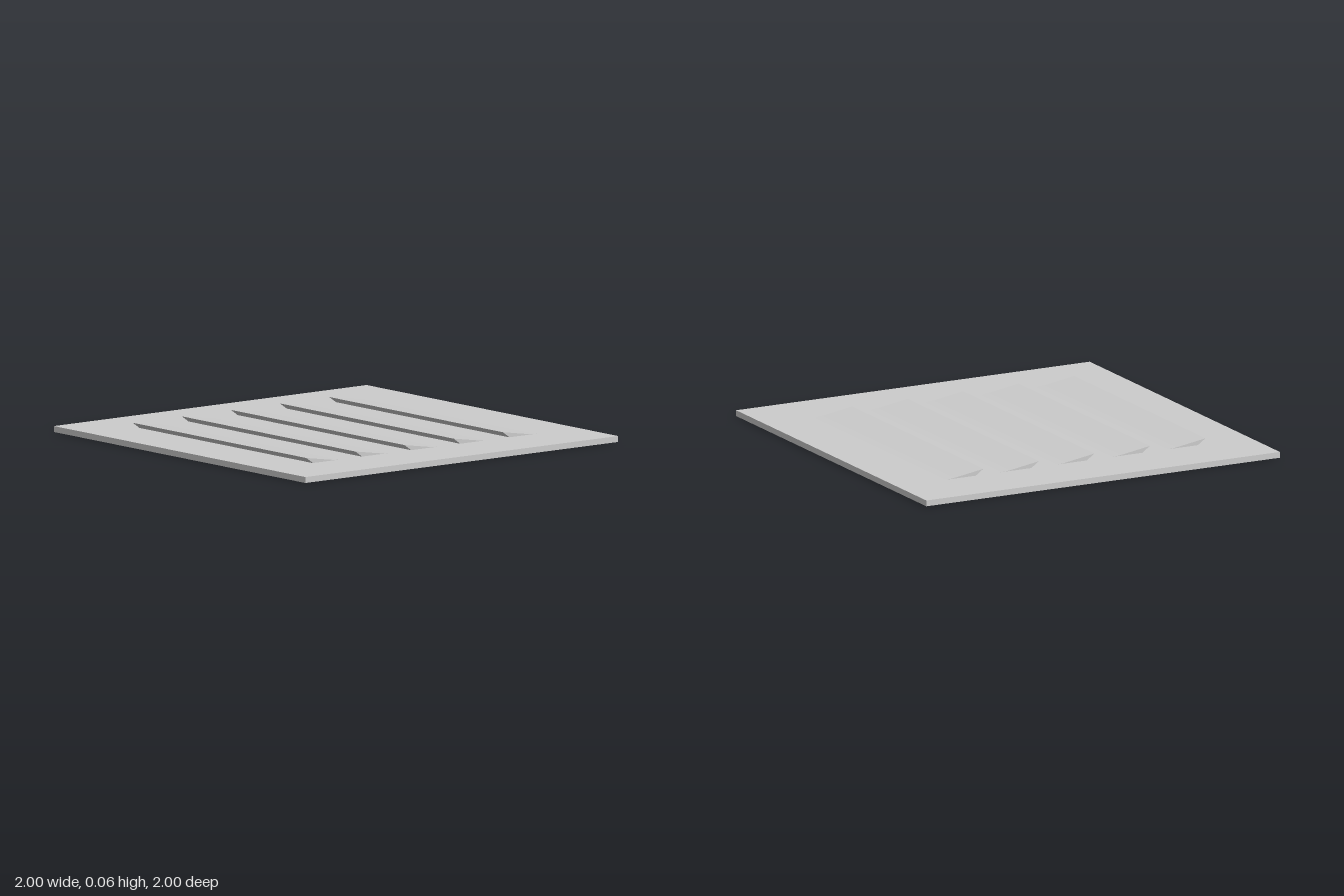
import * as THREE from 'three';
import { toCreasedNormals } from 'three/addons/utils/BufferGeometryUtils.js';

const PLATE_THICKNESS = 0.03;
const LOUVRE_WIDTH = 1.38;
const LOUVRE_COUNT = 5;
const LOUVRE_PITCH = 0.314;
const FIRST_LIP_Z = 0.745;

// Wedge section: x runs toward the front lip at 0, y is height above the plate
function louvreGeometry() {
  const section = new THREE.Shape();
  section.moveTo(-0.22, -0.005);
  section.lineTo(-0.045, -0.005);
  section.lineTo(-0.04, 0.002);
  section.lineTo(0, 0.03);
  section.lineTo(-0.14, 0.0075);
  section.quadraticCurveTo(-0.185, 0, -0.22, 0);
  section.closePath();

  const geometry = new THREE.ExtrudeGeometry(section, {
    depth: LOUVRE_WIDTH,
    bevelEnabled: false,
    curveSegments: 6,
  });
  geometry.translate(0, 0, -LOUVRE_WIDTH / 2);
  geometry.rotateY(-Math.PI / 2);
  return toCreasedNormals(geometry, Math.PI / 7);
}

export function createModel() {
  const model = new THREE.Group();
  model.name = 'louvredPanel';
  const material = new THREE.MeshStandardMaterial({ color: 0xcccccc });

  // Flat square base plate
  const plate = new THREE.Mesh(new THREE.BoxGeometry(2, PLATE_THICKNESS, 2), material);
  plate.name = 'plate';
  plate.position.y = PLATE_THICKNESS / 2;
  model.add(plate);

  // Row of raised louvres, lips facing the front
  const louvres = new THREE.Group();
  louvres.name = 'louvres';
  const geometry = louvreGeometry();
  for (let i = 0; i < LOUVRE_COUNT; i++) {
    const louvre = new THREE.Mesh(geometry, material);
    louvre.name = `louvre${i + 1}`;
    louvre.position.set(0, PLATE_THICKNESS, FIRST_LIP_Z - i * LOUVRE_PITCH);
    louvres.add(louvre);
  }
  model.add(louvres);

  return model;
}
